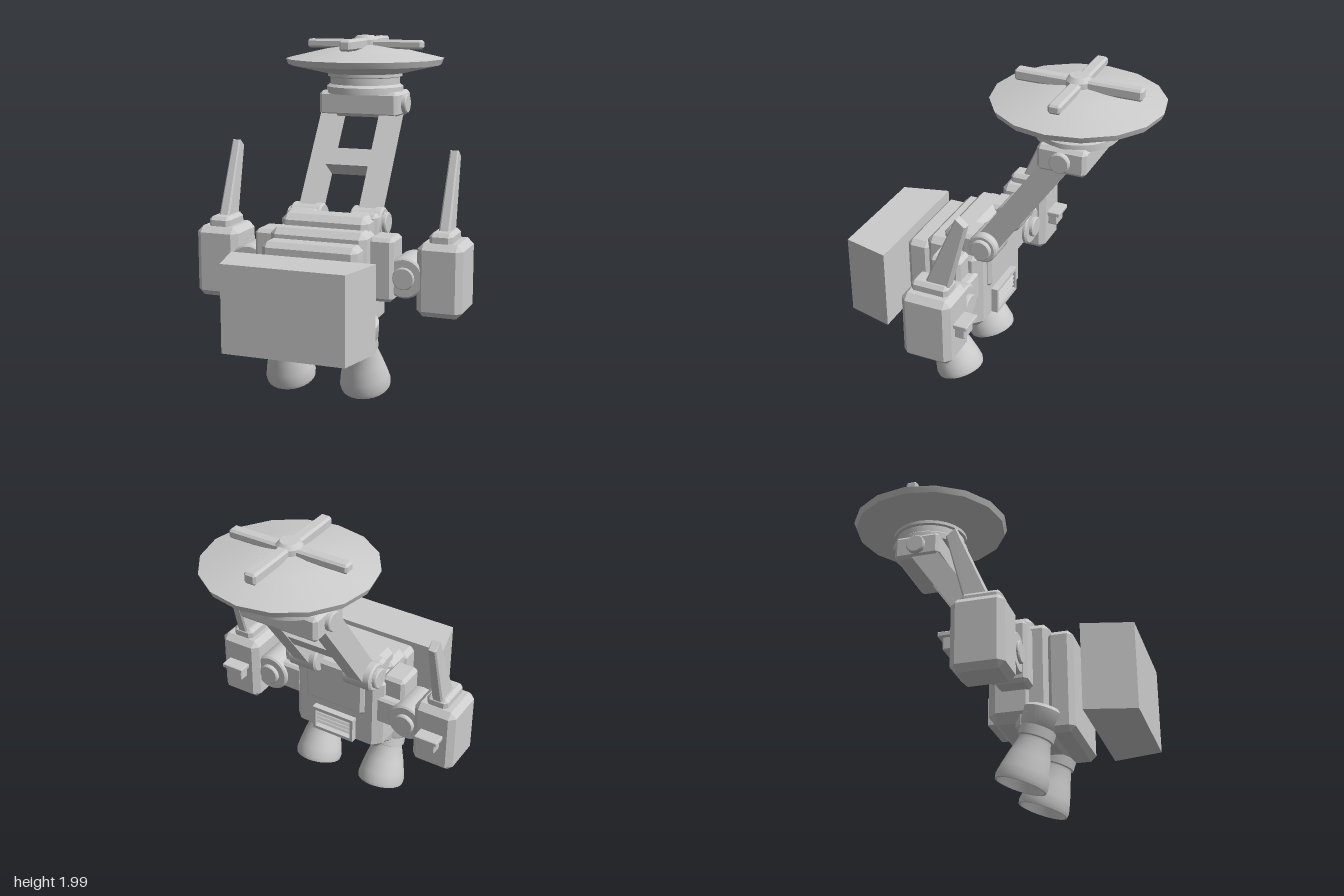
import * as THREE from 'three';
import { toCreasedNormals } from 'three/addons/utils/BufferGeometryUtils.js';
import { ConvexGeometry } from 'three/addons/geometries/ConvexGeometry.js';

export function createModel() {
  const root = new THREE.Group();
  root.name = 'dishRobot';
  const grey = new THREE.MeshStandardMaterial({ color: 0xcccccc });
  grey.name = 'light grey';

  const add = (name, geo, x = 0, y = 0, z = 0, parent = root) => {
    const m = new THREE.Mesh(geo, grey);
    m.name = name;
    m.position.set(x, y, z);
    parent.add(m);
    return m;
  };
  // Box with all edges chamfered by c
  const cbox = (w, h, d, c) => {
    const pts = [];
    for (const i of [-1, 1]) for (const j of [-1, 1]) for (const k of [-1, 1]) {
      const [x, y, z] = [i * w / 2, j * h / 2, k * d / 2];
      pts.push(new THREE.Vector3(x, y - j * c, z - k * c),
        new THREE.Vector3(x - i * c, y, z - k * c),
        new THREE.Vector3(x - i * c, y - j * c, z));
    }
    return new ConvexGeometry(pts);
  };
  // Chamfered box placed by its limits
  const block = (name, x0, x1, y0, y1, z0, z1, c, parent = root) =>
    add(name, cbox(x1 - x0, y1 - y0, z1 - z0, c), (x0 + x1) / 2, (y0 + y1) / 2, (z0 + z1) / 2, parent);
  const hull = pts => new ConvexGeometry(pts.map(p => new THREE.Vector3(...p)));
  const lathe = (pts, seg, crease = 0.5) => toCreasedNormals(
    new THREE.LatheGeometry(pts.map(p => new THREE.Vector2(...p)), seg), crease);
  // Cylinder along x or z with a small edge bevel
  const drum = (r, len, axis, b = 0.01) => {
    const h = len / 2;
    const g = lathe([[0, -h], [r - b, -h], [r, -h + b], [r, h - b], [r - b, h], [0, h]], 24);
    return axis === 'x' ? g.rotateZ(Math.PI / 2) : g.rotateX(Math.PI / 2);
  };

  // Torso: stepped layers rising towards the back
  block('torso', -0.3, 0.3, 0.40, 0.93, 0.05, 0.32, 0.05);
  block('torsoTop', -0.26, 0.26, 0.6, 1.03, 0.12, 0.30, 0.035);
  block('torsoMiddle', -0.285, 0.285, 0.34, 0.965, 0.2, 0.40, 0.035);
  block('chestPlate', -0.28, 0.28, 0.32, 0.91, 0.38, 0.53, 0.03);
  block('backPanel', -0.2, 0.2, 0.66, 0.96, 0.025, 0.16, 0.02);

  // Vent with slats on the lower back
  const vent = new THREE.Group();
  vent.name = 'backVent';
  root.add(vent);
  for (const y of [0.46, 0.60]) add('ventFrame', new THREE.BoxGeometry(0.28, 0.02, 0.07), 0, y, 0.045, vent);
  for (const x of [-0.13, 0.13]) add('ventFrame', new THREE.BoxGeometry(0.02, 0.14, 0.07), x, 0.53, 0.045, vent);
  for (let i = 0; i < 4; i++) {
    add('ventSlat', new THREE.BoxGeometry(0.25, 0.016, 0.05), 0, 0.488 + i * 0.028, 0.045, vent).rotation.x = 0.5;
  }

  // Detached front box, tapering forwards
  const box = [];
  for (const y of [0.37, 0.86]) for (const s of [-1, 1]) box.push([s * 0.42, y, 0.605], [s * 0.35, y, 0.885]);
  add('frontBox', hull(box));

  // Neck beams leaning back, with a crossbar
  const lean = -0.61;
  for (const s of [-1, 1]) {
    add('neckBeam', new THREE.BoxGeometry(0.1, 0.8, 0.14), s * 0.183, 1.265, -0.165).rotation.x = lean;
    add('neckPivot', drum(0.088, 0.19, 'x'), s * 0.185, 0.965, 0.045);
    add('pivotCap', drum(0.062, 0.03, 'x', 0.006), s * 0.29, 0.965, 0.045);
    block('pivotBracket', s * 0.185 - 0.09, s * 0.185 + 0.09, 0.86, 1.03, 0.05, 0.18, 0.02);
  }
  add('neckCrossbar', new THREE.BoxGeometry(0.28, 0.11, 0.13), 0, 1.27, -0.17).rotation.x = lean;

  // Head block, side bolts and turntable
  block('headBlock', -0.245, 0.245, 1.525, 1.675, -0.545, -0.265, 0.02);
  for (const s of [-1, 1]) add('headBolt', drum(0.057, 0.04, 'x', 0.006), s * 0.253, 1.6, -0.405);
  add('turntable', lathe([[0, 1.66], [0.23, 1.66], [0.23, 1.7], [0.21, 1.715], [0.21, 1.755],
    [0.225, 1.76], [0.225, 1.79], [0, 1.79]], 24), 0, 0, -0.405);

  // Dish with a raised cross on top
  add('dish', lathe([[0, 1.78], [0.24, 1.78], [0.46, 1.83], [0.475, 1.865], [0.25, 1.917], [0, 1.955]], 16, 0.6), 0, 0, -0.405);
  block('crossBar', -0.36, 0.36, 1.922, 1.975, -0.44, -0.37, 0.012);
  block('crossBar', -0.035, 0.035, 1.92, 1.985, -0.765, -0.045, 0.012);
  add('crossHub', lathe([[0.072, 1.9], [0.072, 1.975], [0.05, 2], [0, 2]], 16), 0, 0, -0.405);

  // Hollow thruster bell, built upwards from its mouth
  const bell = lathe([[0, 0.2], [0.06, 0.2], [0.09, 0.15], [0.118, 0.06], [0.132, 0], [0.142, 0],
    [0.146, 0.025], [0.135, 0.08], [0.115, 0.16], [0.09, 0.245], [0.09, 0.26], [0.1, 0.265],
    [0.1, 0.32], [0.107, 0.33], [0.118, 0.42], [0.1, 0.44], [0, 0.44]], 28, 0.6);

  for (const s of [-1, 1]) {
    add('thruster', bell, s * 0.23, 0.053, 0.217).rotation.x = 0.33;

    // Shoulder block and joint
    const sb = (name, a, b, ...rest) => block(name, Math.min(s * a, s * b), Math.max(s * a, s * b), ...rest);
    sb('shoulderBlock', 0.27, 0.415, 0.57, 0.93, 0.12, 0.31, 0.02);
    sb('shoulderLink', 0.26, 0.48, 0.62, 0.80, 0.07, 0.27, 0.015);
    add('shoulderJoint', drum(0.115, 0.24, 'z'), s * 0.47, 0.71, 0.165);
    add('jointCap', drum(0.063, 0.28, 'z', 0.006), s * 0.47, 0.71, 0.16);

    // Side pod with cap
    sb('sidePod', 0.54, 0.80, 0.50, 0.915, 0, 0.295, 0.035);
    sb('podCap', 0.602, 0.732, 0.89, 0.97, 0.04, 0.26, 0.02);

    // Swept-back fin
    const fin = [];
    for (const k of [-1, 1]) {
      for (const [z, y, w, e] of [[0.19, 0.95, 0.033, 0.01], [0.045, 0.95, 0.033, 0.01],
        [-0.063, 1.355, 0.025, 0.008], [0, 1.392, 0.025, 0.008]]) {
        const dz = z === 0.19 || z === 0 ? -e : e;
        fin.push([s * 0.668 + k * w, y, z + dz], [s * 0.668 + k * (w - e), y, z]);
      }
    }
    add('podFin', hull(fin));

    // Hooded socket on the pod back
    sb('socketBody', 0.615, 0.72, 0.66, 0.74, -0.058, 0.03, 0.006);
    sb('socketHood', 0.597, 0.74, 0.73, 0.757, -0.08, 0.03, 0.004);
  }
  return root;
}
